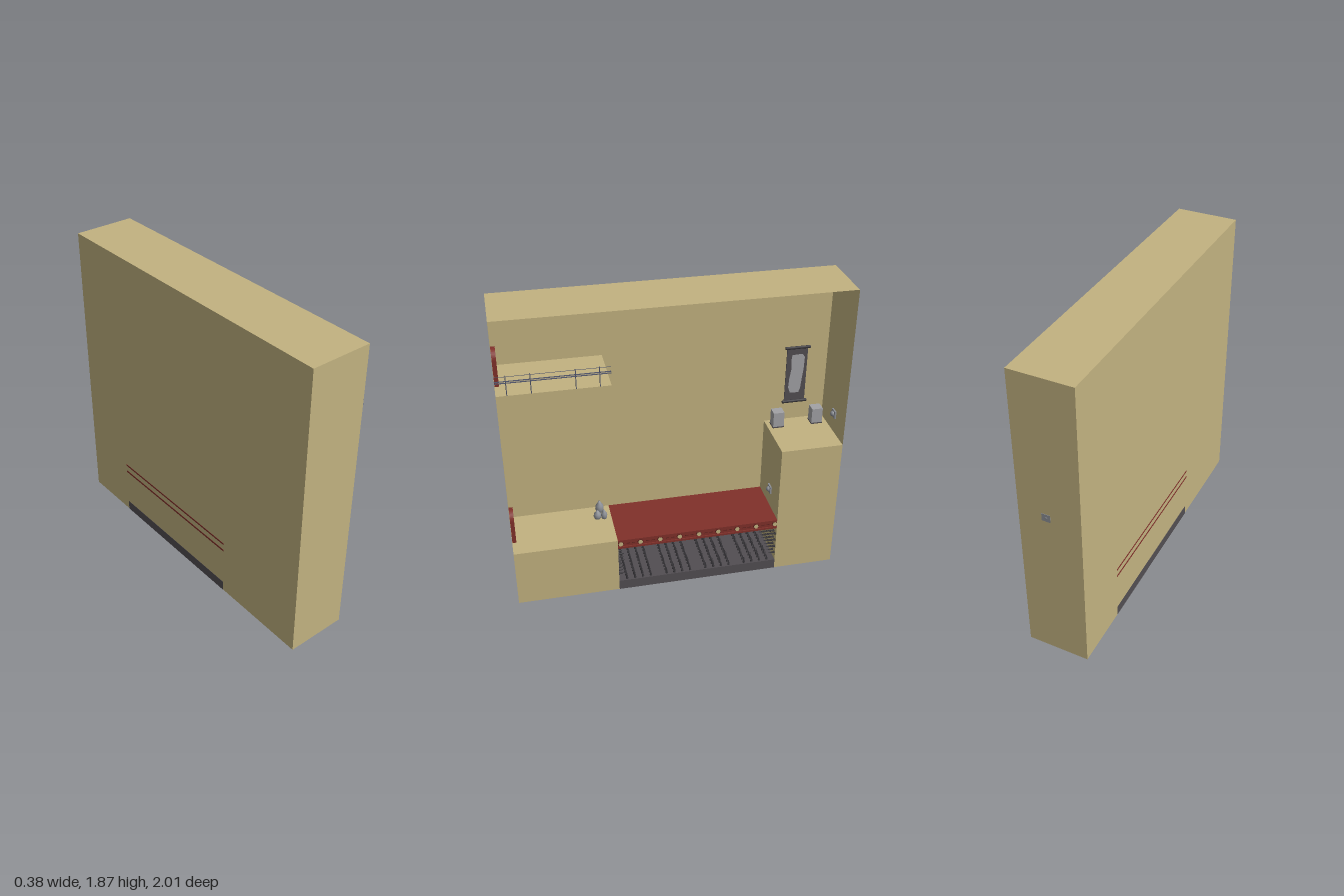
import * as THREE from 'three';

const mat = (name, color, extra = {}) => {
  const m = new THREE.MeshStandardMaterial({ color, ...extra });
  m.name = name;
  return m;
};

export function createModel() {
  const sand = mat('sandstone', 0xc2b280, { side: THREE.DoubleSide });
  const red = mat('red wood', 0x80302a);
  const darkRed = mat('dark red wood', 0x5a201c);
  const stone = mat('dark stone', 0x524e52);
  const iron = mat('black iron', 0x38363a);
  const grey = mat('grey stone', 0x8d9096);
  const pale = mat('pale grey', 0xa2a2a5);
  const steel = mat('blue steel', 0x555a70);

  const model = new THREE.Group();
  const W = 0.187, H = 1.87;

  const add = (name, geo, material, x = 0, y = 0, z = 0, parent = model) => {
    const m = new THREE.Mesh(geo, material);
    m.name = name;
    m.position.set(x, y, z);
    parent.add(m);
    return m;
  };
  // box given by its limits on each axis
  const box = (name, material, [x0, x1], [y0, y1], [z0, z1], parent) =>
    add(name, new THREE.BoxGeometry(x1 - x0, y1 - y0, z1 - z0), material,
      (x0 + x1) / 2, (y0 + y1) / 2, (z0 + z1) / 2, parent);
  const group = (name) => {
    const g = new THREE.Group();
    g.name = name;
    model.add(g);
    return g;
  };

  // room shell of thin planes, open towards +x
  const room = group('roomShell');
  const wall = (name, w, h, pos, rot) => {
    const m = add(name, new THREE.PlaneGeometry(w, h), sand, ...pos, room);
    m.rotation.set(...rot);
  };
  const q = Math.PI / 2;
  wall('backWall', 2, H, [-W, H / 2, 0], [0, -q, 0]);
  wall('frontEndWall', 2 * W, H, [0, H / 2, 1], [0, 0, 0]);
  wall('rearEndWall', 2 * W, H, [0, H / 2, -1], [0, Math.PI, 0]);
  wall('ceiling', 2 * W, 2, [0, H, 0], [-q, 0, 0]);
  wall('floor', 2 * W, 2, [0, 0, 0], [q, 0, 0]);

  // solid ledges
  box('lowerLedge', sand, [-W, W], [0, 0.375], [0.378, 1]);
  box('upperLedge', sand, [-W, W], [1.06, 1.437], [0.378, 1]);
  box('rearLedge', sand, [-W, W], [0, 0.875], [-1, -0.622]);

  // pit base
  box('pitBase', stone, [-W - 0.001, W], [-0.001, 0.064], [-0.622, 0.378]);

  // spikes on the pit floor and both pit walls
  const rows = 12;
  const spikes = group('spikes');
  const cone = new THREE.ConeGeometry(0.009, 0.05, 6);
  cone.translate(0, 0.025, 0);
  for (let r = 0; r < rows; r++) {
    const x = -W + (r + 0.5) * (2 * W / rows);
    for (let g = 0; g < 4; g++) {
      for (let i = 0; i < 4; i++) {
        const s = add('floorSpike', cone, iron, x, 0.062, 0.327 - g * 0.25 - i * 0.05, spikes);
        s.scale.y = [1, 0.75, 0.8, 1][(i + r) % 4];
      }
    }
    for (let i = 0; i < 4; i++) {
      const y = 0.112 + i * 0.05;
      add('wallSpike', cone, iron, x, y, 0.38, spikes).rotation.x = -q;
      add('wallSpike', cone, iron, x, y, -0.624, spikes).rotation.x = q;
    }
  }
  spikes.children.forEach((s) => { if (s.name === 'wallSpike') s.scale.y = 0.85; });

  // bridge: two boards and a core with hexagonal studs along its side
  const bridge = group('bridge');
  box('deckBoard', red, [-W - 0.001, W], [0.363, 0.375], [-0.622, 0.378], bridge);
  box('lowerBoard', red, [-W - 0.001, W], [0.312, 0.325], [-0.622, 0.378], bridge);
  box('bridgeCore', red, [-W + 0.005, W - 0.008], [0.325, 0.363], [-0.622, 0.378], bridge);
  const hex = (r, len) => new THREE.CylinderGeometry(r, r, len, 6).rotateZ(q);
  for (let i = 0; i <= 8; i++) {
    const z = 0.36 - i * 0.1212;
    add('studRim', hex(0.019, 0.006), darkRed, W - 0.007, 0.344, z, bridge);
    add('stud', hex(0.015, 0.006), sand, W - 0.004, 0.344, z, bridge);
    if (i < 8) {
      for (const d of [0.045, 0.078]) {
        box('seam', darkRed, [W - 0.009, W - 0.006], [0.342, 0.346], [z - d - 0.01, z - d + 0.01], bridge);
      }
    }
  }

  // arched door frames on the front end wall
  const arch = (shape, r, h) => {
    shape.moveTo(-r, 0);
    shape.lineTo(r, 0);
    shape.lineTo(r, h);
    shape.absarc(0, h, r, 0, Math.PI, false);
    shape.lineTo(-r, 0);
    return shape;
  };
  const door = arch(new THREE.Shape(), 0.055, 0.155);
  door.holes.push(arch(new THREE.Path(), 0.032, 0.15));
  const doorGeo = new THREE.ExtrudeGeometry(door, { depth: 0.024, bevelEnabled: false, curveSegments: 10 });
  for (const y of [0.375, 1.437]) add('doorFrame', doorGeo, red, 0.02, y, 0.975);

  // railing along the upper ledge
  const rail = group('railing');
  for (const y of [1.513, 1.523]) {
    box('railBar', steel, [W - 0.003, W + 0.002], [y - 0.002, y + 0.002], [0.378, 1], rail);
  }
  box('topWire', steel, [W - 0.001, W + 0.001], [1.55, 1.552], [0.378, 1], rail);
  for (const z of [0.94, 0.81, 0.57, 0.44]) {
    add('railPost', new THREE.CylinderGeometry(0.0025, 0.0025, 0.12, 8), steel, W - 0.001, 1.497, z, rail);
  }

  // hanging scroll on the back wall
  const scroll = group('scroll');
  box('scrollCloth', stone, [-W + 0.001, -W + 0.007], [1.0, 1.37], [-0.872, -0.742], scroll);
  for (const y of [1.002, 1.368]) {
    add('scrollRod', new THREE.CylinderGeometry(0.009, 0.009, 0.155, 10).rotateX(q), iron, -W + 0.01, y, -0.807, scroll);
  }
  const patch = new THREE.Shape([
    [-0.035, 0.13], [0.03, 0.132], [0.045, 0.11], [0.043, 0.03], [0.035, -0.04], [0.03, -0.1],
    [0.02, -0.13], [-0.035, -0.128], [-0.048, -0.09], [-0.045, -0.03], [-0.036, 0.03], [-0.04, 0.09],
  ].map(([x, y]) => new THREE.Vector2(x, y)));
  add('scrollPicture', new THREE.ShapeGeometry(patch).rotateY(q), pale, -W + 0.009, 1.19, -0.81, scroll);

  // square stone lanterns on the rear ledge
  for (const z of [-0.685, -0.932]) {
    box('lanternBase', stone, [-0.154, -0.086], [0.875, 0.882], [z - 0.036, z + 0.036]);
    box('lanternBody', pale, [-0.152, -0.088], [0.882, 0.978], [z - 0.034, z + 0.034]);
  }

  // square wall buttons with a domed centre
  for (const [y, z] of [[1.0, -1], [0.5, -0.622]]) {
    box('buttonPlate', grey, [-0.006, 0.046], [y - 0.024, y + 0.024], [z - 0.002, z + 0.01]);
    add('buttonDome', new THREE.SphereGeometry(0.017, 12, 8), grey, 0.02, y, z + 0.012);
  }

  // cluster of pots on the lower ledge
  for (const [x, z, r, h] of [[-0.125, 0.443, 0.027, 0.088], [-0.06, 0.465, 0.025, 0.064], [-0.052, 0.425, 0.02, 0.07]]) {
    const p = [[0.3, 0], [0.75, 0.1], [1, 0.38], [0.85, 0.65], [0.42, 0.83], [0.3, 0.95], [0, 1]];
    const geo = new THREE.LatheGeometry(p.map(([a, b]) => new THREE.Vector2(a * r, b * h)), 12);
    add('pot', geo, grey, x, 0.375, z);
  }

  return model;
}
